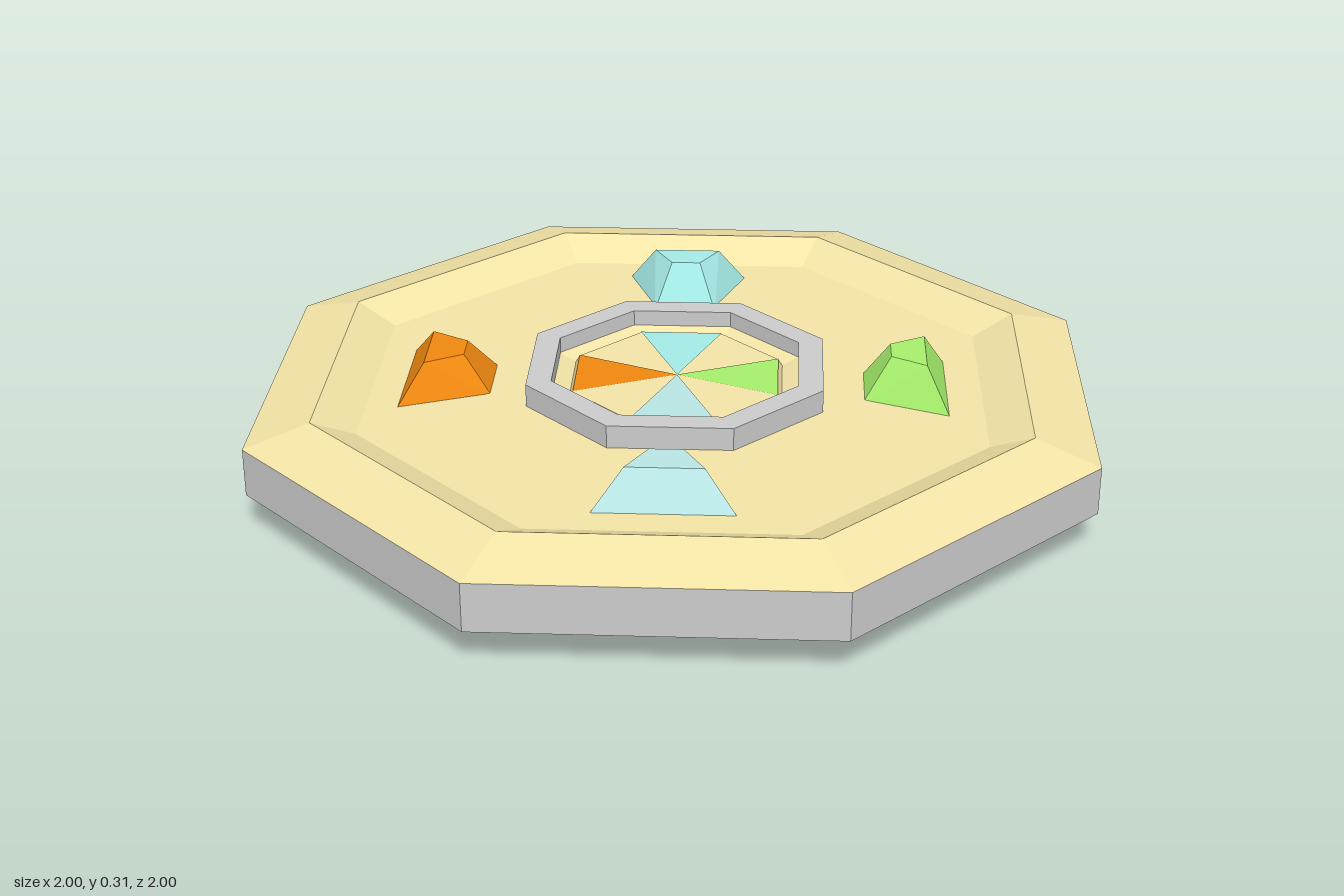
import * as THREE from 'three';
import { ConvexGeometry } from 'three/addons/geometries/ConvexGeometry.js';

const MID = 0.158; // height of the symmetry plane
const APOTHEM = Math.cos(Math.PI / 8);

function material(color) {
  return new THREE.MeshStandardMaterial({ color, flatShading: true });
}

function add(parent, name, geometry, mat) {
  const mesh = new THREE.Mesh(geometry, mat);
  mesh.name = name;
  parent.add(mesh);
  return mesh;
}

// Octagonal solid of revolution; profile points are [apothem, y]
function octagon(points) {
  const profile = points.map(([a, y]) => new THREE.Vector2(a / APOTHEM, y));
  return new THREE.LatheGeometry(profile, 8, Math.PI / 8).toNonIndexed();
}

// Faceted gem along local +x: wide outer edge, tapering to a smaller top
function gemGeometry(scale, top) {
  const corners = [];
  const layer = (y, outer, outerHalf, inner, innerHalf) => {
    for (const s of [-1, 1]) {
      corners.push(new THREE.Vector3(outer, y, s * outerHalf));
      corners.push(new THREE.Vector3(inner, y, s * innerHalf));
    }
  };
  const c = 0.56; // middle of the gem, kept fixed while scaling
  const at = (u) => c + (u - c) * scale;
  layer(0.045, at(0.67), 0.16 * scale, at(0.455), 0.08 * scale);
  layer(top, at(0.61), 0.085 * scale, at(0.525), 0.037 * scale);
  return new ConvexGeometry(corners);
}

// Flat triangular inlay filling one side of the central octagon
function wedgeGeometry() {
  const a = 0.25, h = a * Math.tan(Math.PI / 8);
  const shape = new THREE.Shape([
    new THREE.Vector2(0, 0), new THREE.Vector2(a, -h), new THREE.Vector2(a, h),
  ]);
  return new THREE.ShapeGeometry(shape).rotateX(-Math.PI / 2).translate(0, 0.079, 0);
}

export function createModel() {
  const model = new THREE.Group();
  model.name = 'gemmedDisc';
  const body = new THREE.Group();
  body.name = 'disc';
  body.position.y = MID;
  model.add(body);

  const grey = material(0xcccccc);
  const gold = material(0xf3e4a6);

  // Outer rim band
  add(body, 'rim', octagon([[1, -0.06], [1, 0.06]]), grey);

  // Bevel, recessed floor and central dish, the same on both faces
  const face = [[1, 0.06], [0.85, 0.103], [0.75, 0.055], [0.3, 0.058], [0.3, 0.075],
    [0.26, 0.058], [0.25, 0.077], [0, 0.077]];
  add(body, 'topFace', octagon(face), gold);
  add(body, 'bottomFace', octagon(face.map(([a, y]) => [a, -y]).reverse()), gold);

  // Raised collar around the dish
  const collar = [[0.36, 0.04], [0.36, 0.115], [0.3, 0.115], [0.3, 0.04]];
  add(body, 'topCollar', octagon(collar), grey);
  add(body, 'bottomCollar', octagon(collar.map(([a, y]) => [a, -y]).reverse()), grey);

  // One gem and one inlay per diagonal and face
  const settings = [
    { name: 'green', color: 0xa6f06c, scale: 1, top: 0.157 },
    { name: 'cyan', color: 0xa4eae6, scale: 1, top: 0.157 },
    { name: 'orange', color: 0xf08810, scale: 1.08, top: 0.142 },
    { name: 'paleBlue', color: 0xb8e6e4, scale: 1.08, top: 0.142 },
  ];
  settings.forEach(({ name, color, scale, top }, i) => {
    const arm = new THREE.Group();
    arm.name = name + 'Setting';
    arm.rotation.y = Math.PI / 4 + i * Math.PI / 2;
    body.add(arm);
    const mat = material(color);
    for (const [side, turn] of [['Top', 0], ['Bottom', Math.PI]]) {
      add(arm, `${name}Gem${side}`, gemGeometry(scale, top), mat).rotation.x = turn;
      add(arm, `${name}Inlay${side}`, wedgeGeometry(), mat).rotation.x = turn;
    }
  });
  return model;
}
